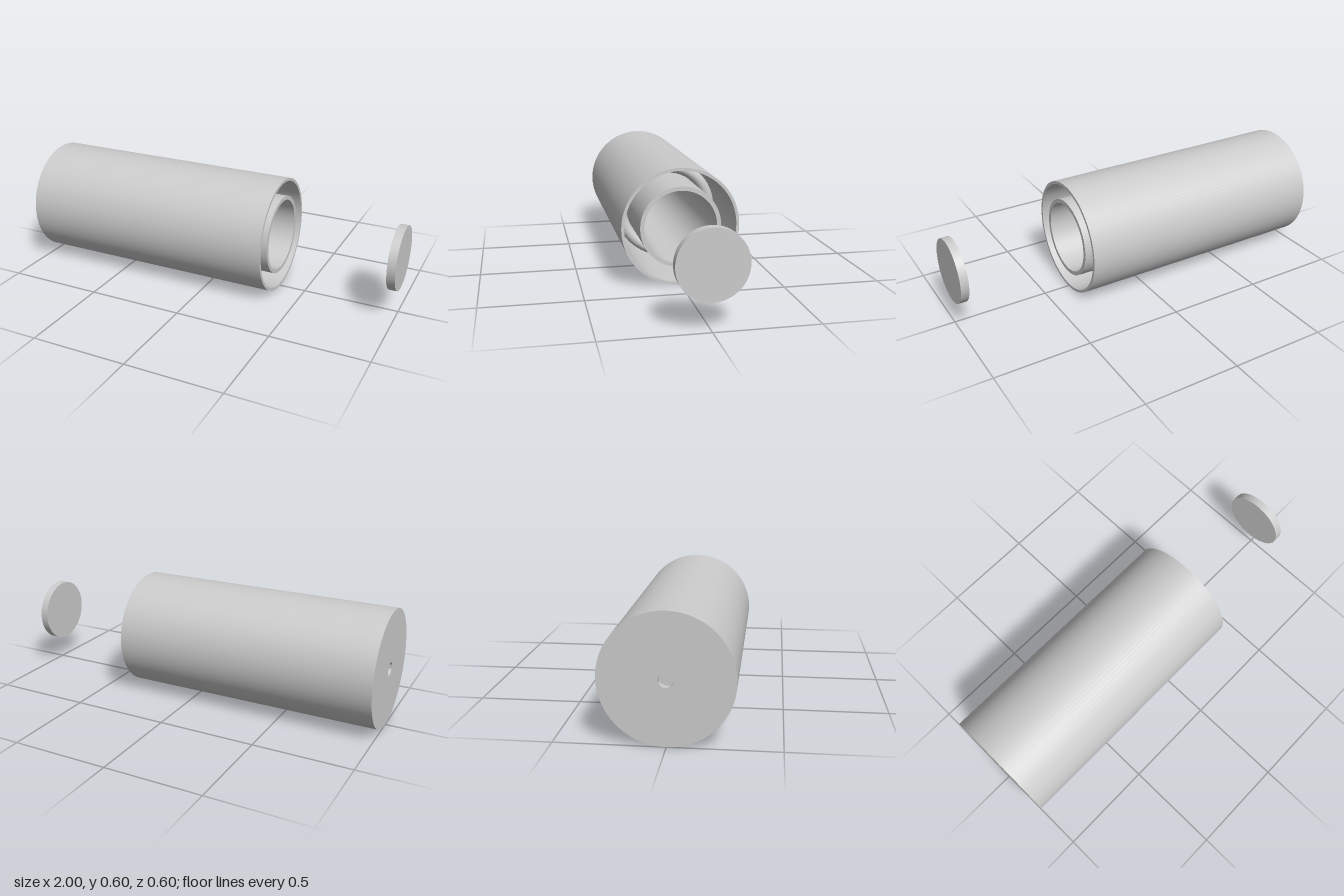
import * as THREE from 'three';
import { toCreasedNormals } from 'three/addons/utils/BufferGeometryUtils.js';

const AXIS_Y = 0.3;

export function createModel() {
  const group = new THREE.Group();
  const material = new THREE.MeshStandardMaterial({ color: 0xcccccc });

  const add = (name, geometry) => {
    const mesh = new THREE.Mesh(geometry, material);
    mesh.name = name;
    mesh.position.y = AXIS_Y;
    group.add(mesh);
  };

  // Turned part along x: profile of [radius, x], outer wall towards +x first
  const turned = (name, profile) => {
    const points = profile.map(([r, x]) => new THREE.Vector2(r, x));
    const geometry = new THREE.LatheGeometry(points, 96).rotateZ(-Math.PI / 2);
    add(name, toCreasedNormals(geometry, 0.6));
  };

  // Outer barrel with a small hole in its closed end
  turned('barrel', [
    [0.034, -1], [0.3, -1], [0.3, 0.36], [0.285, 0.36],
    [0.285, -0.965], [0.034, -0.965], [0.034, -1],
  ]);

  // Inner cup with a flange at its closed end
  turned('innerTube', [
    [0, -0.92], [0.28, -0.92], [0.28, -0.88], [0.206, -0.88],
    [0.206, 0.36], [0.185, 0.36], [0.185, -0.88], [0, -0.88],
  ]);

  // Coil spring around the inner tube, resting on the flange
  const coilRadius = 0.2385, wire = 0.0315, turns = 8;
  const start = -0.845, end = -0.02;
  const points = [];
  for (let i = 0; i <= turns * 24; i++) {
    const t = i / (turns * 24);
    const a = t * turns * Math.PI * 2;
    points.push(new THREE.Vector3(
      start + (end - start) * t, coilRadius * Math.cos(a), coilRadius * Math.sin(a)));
  }
  const path = new THREE.CatmullRomCurve3(points);
  add('spring', new THREE.TubeGeometry(path, turns * 48, wire, 16));
  for (const t of [0, 1]) {
    const direction = path.getTangent(t).multiplyScalar(t ? 1 : -1);
    const cap = new THREE.CircleGeometry(wire, 16);
    cap.applyQuaternion(new THREE.Quaternion().setFromUnitVectors(new THREE.Vector3(0, 0, 1), direction));
    const p = path.getPoint(t);
    add('springEnd', cap.translate(p.x, p.y, p.z));
  }

  // Loose disc in front of the open end
  turned('disc', [[0, 0.958], [0.165, 0.958], [0.165, 1], [0, 1]]);

  return group;
}
